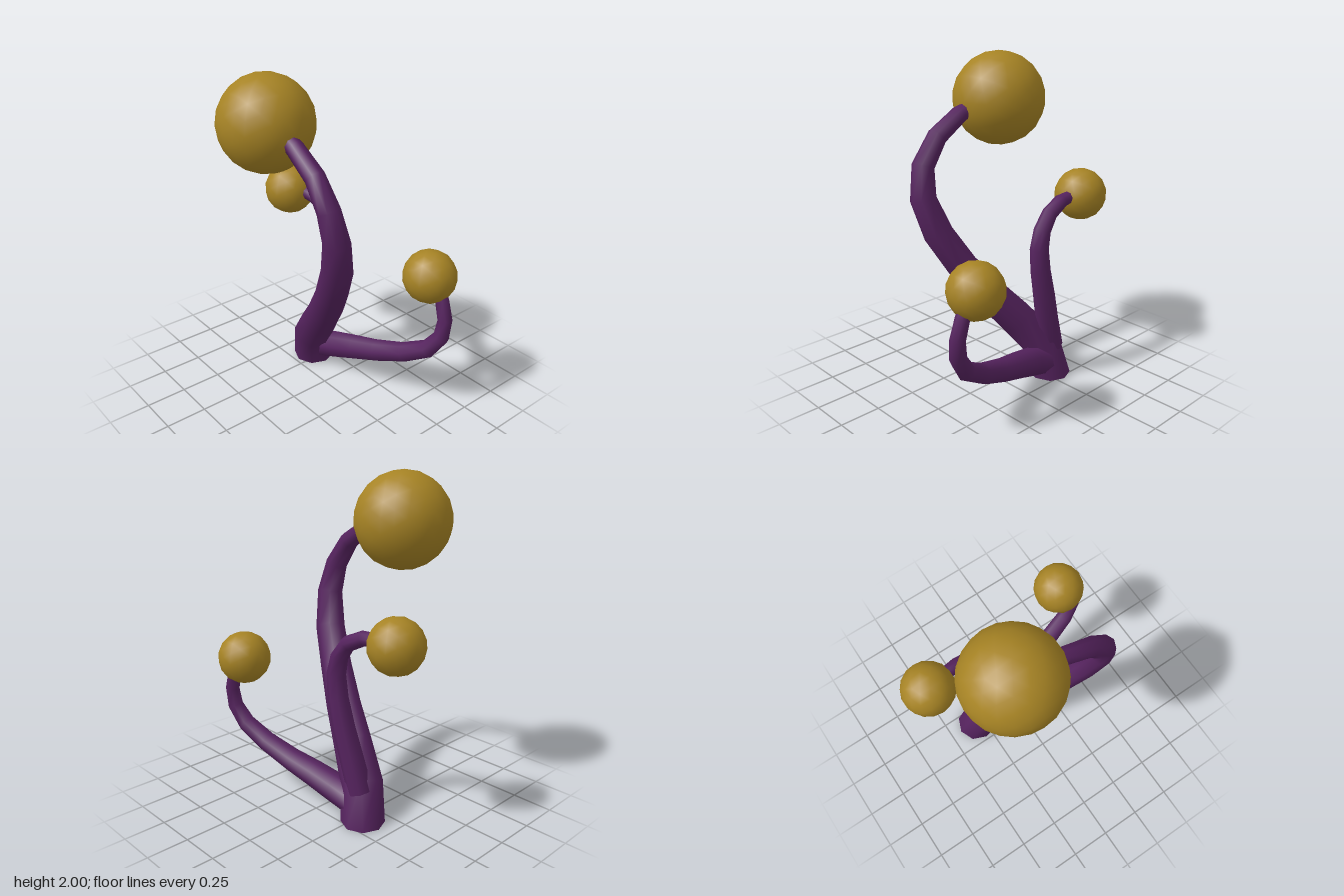
import * as THREE from 'three';

const SIDES = 8;

// Tapered tube swept through [x, y, z, radius] stations, closed at both ends
function stalkGeometry(stations, flatBase) {
  const centres = stations.map(([x, y, z]) => new THREE.Vector3(x, y, z));
  const up = new THREE.Vector3(0, 1, 0);
  const last = centres.length - 1;
  const positions = [], index = [];

  const ring = (i) => {
    const tangent = centres[Math.min(i + 1, last)].clone().sub(centres[Math.max(i - 1, 0)]).normalize();
    if (i === 0 && flatBase) tangent.copy(up);
    const turn = new THREE.Quaternion().setFromUnitVectors(up, tangent);
    for (let j = 0; j < SIDES; j++) {
      const a = (j / SIDES) * Math.PI * 2;
      const v = new THREE.Vector3(Math.cos(a), 0, Math.sin(a)).multiplyScalar(stations[i][3]);
      positions.push(...v.applyQuaternion(turn).add(centres[i]).toArray());
    }
  };

  // Side walls
  for (let i = 0; i <= last; i++) ring(i);
  for (let i = 0; i < last; i++) {
    for (let j = 0; j < SIDES; j++) {
      const k = (j + 1) % SIDES;
      const a = i * SIDES + j, b = i * SIDES + k;
      index.push(a, a + SIDES, b, b, a + SIDES, b + SIDES);
    }
  }

  // End caps with their own vertices, so the rims stay sharp
  for (const end of [0, last]) {
    const start = positions.length / 3;
    ring(end);
    for (let j = 1; j < SIDES - 1; j++) {
      if (end === 0) index.push(start, start + j, start + j + 1);
      else index.push(start, start + j + 1, start + j);
    }
  }

  const geometry = new THREE.BufferGeometry();
  geometry.setAttribute('position', new THREE.Float32BufferAttribute(positions, 3));
  geometry.setIndex(index);
  geometry.computeVertexNormals();
  return geometry;
}

export function createModel() {
  const purple = new THREE.MeshStandardMaterial({ color: 0x56235f });
  purple.name = 'stalk purple';
  const gold = new THREE.MeshStandardMaterial({ color: 0xa68324 });
  gold.name = 'bulb gold';

  const branches = [
    {
      name: 'main', flatBase: true,
      stations: [
        [-0.30, 0, -0.15, 0.13], [-0.25, 0.22, -0.11, 0.125], [-0.10, 0.41, -0.04, 0.115],
        [0.05, 0.59, 0.03, 0.105], [0.20, 0.79, 0.11, 0.095], [0.32, 1.00, 0.175, 0.09],
        [0.38, 1.21, 0.23, 0.077], [0.35, 1.39, 0.26, 0.066], [0.24, 1.545, 0.262, 0.058],
        [0.07, 1.655, 0.258, 0.052], [-0.03, 1.69, 0.25, 0.045],
      ],
      bulb: [-0.22, 1.72, 0.235], radius: 0.28, detail: 3,
    },
    {
      name: 'right', flatBase: false,
      stations: [
        [-0.29, 0.20, -0.165, 0.075], [-0.23, 0.41, -0.18, 0.07], [-0.185, 0.58, -0.195, 0.066],
        [-0.145, 0.75, -0.2, 0.06], [-0.13, 0.89, -0.2, 0.056], [-0.155, 1.00, -0.198, 0.051],
        [-0.22, 1.09, -0.195, 0.046], [-0.33, 1.143, -0.185, 0.043], [-0.42, 1.15, -0.175, 0.038],
      ],
      bulb: [-0.54, 1.14, -0.155], radius: 0.16, detail: 2,
    },
    {
      name: 'left', flatBase: false,
      stations: [
        [-0.24, 0.11, -0.155, 0.09], [-0.09, 0.16, -0.185, 0.088], [0.06, 0.205, -0.215, 0.08],
        [0.22, 0.25, -0.25, 0.07], [0.41, 0.32, -0.292, 0.061], [0.565, 0.41, -0.33, 0.055],
        [0.64, 0.52, -0.355, 0.048], [0.65, 0.635, -0.365, 0.043], [0.615, 0.75, -0.367, 0.04],
        [0.57, 0.83, -0.365, 0.036],
      ],
      bulb: [0.515, 0.87, -0.36], radius: 0.16, detail: 2,
    },
  ];

  const model = new THREE.Group();
  model.name = 'bulbPlant';
  for (const b of branches) {
    // Curved stalk
    const stalk = new THREE.Mesh(stalkGeometry(b.stations, b.flatBase), purple);
    stalk.name = b.name + 'Stalk';
    // Round bulb at the tip
    const bulb = new THREE.Mesh(new THREE.IcosahedronGeometry(b.radius, b.detail), gold);
    bulb.name = b.name + 'Bulb';
    bulb.position.set(...b.bulb);
    model.add(stalk, bulb);
  }
  return model;
}
